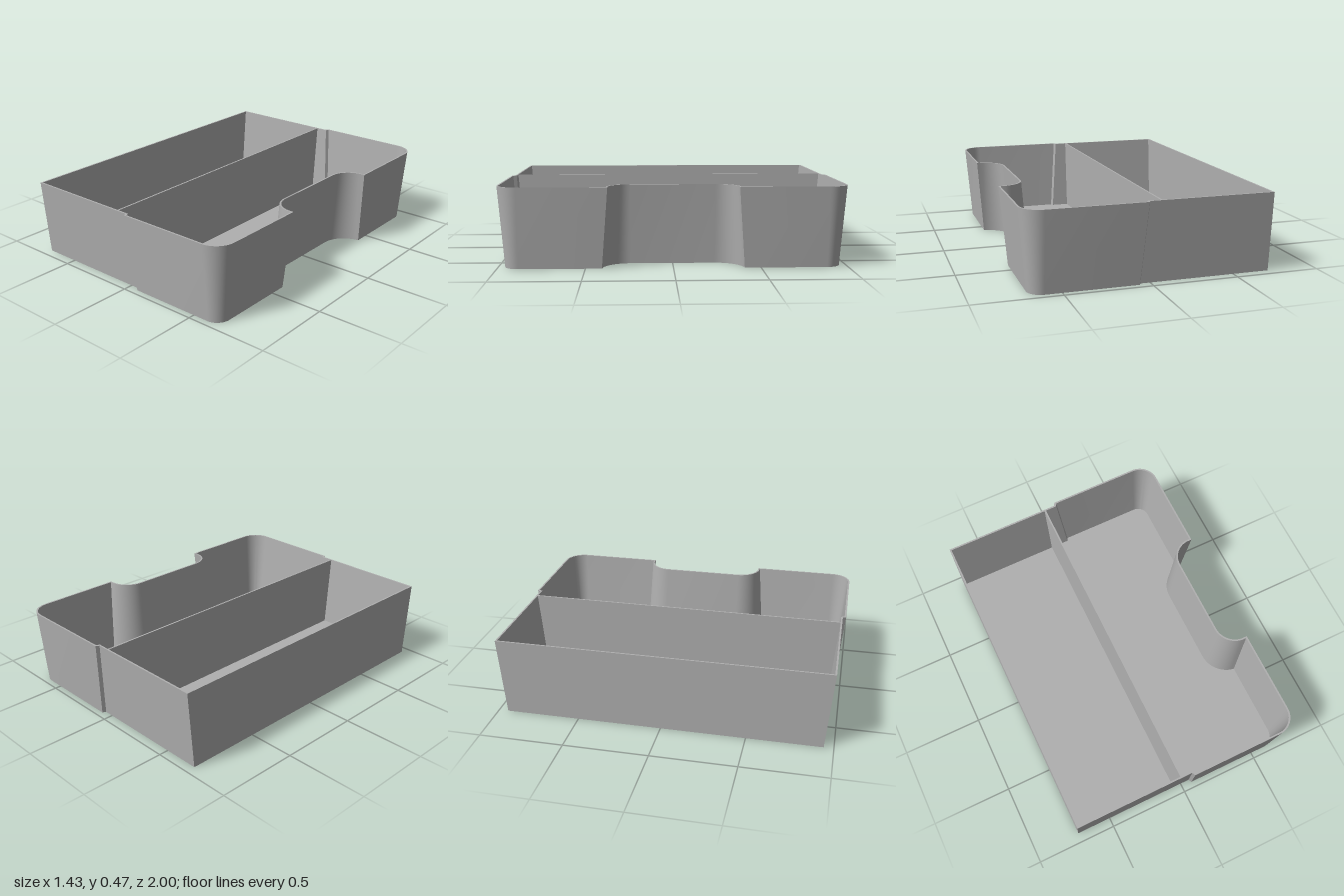
import * as THREE from 'three';
import { toCreasedNormals } from 'three/addons/utils/BufferGeometryUtils.js';

const HEIGHT = 0.467, DRAFT = 0.037, WALL = 0.01, FLOOR = 0.01;
const BACK = -0.717, FRONT = 0.717, STEPS = 12;

// Plan outline [x, z], inset by the draft and wall thickness; the back wall has no draft.
function outline(draft, wall) {
  const d = draft + wall;
  const half = [
    [BACK + wall, 0.98 - d],
    [0.02 + d, 0.98 - d],
    [0.03 + d, 1 - d],
  ];
  // rounded outer corner
  for (let i = 0; i <= STEPS; i++) {
    const a = (Math.PI / 2) * (1 - i / STEPS), r = 0.12 - d;
    half.push([FRONT - 0.12 + r * Math.cos(a), 0.88 + r * Math.sin(a)]);
  }
  // concave corner of the front notch, starting on the front face
  const cx = 0.695, cz = 0.245, r = 0.125 + d;
  const start = Math.acos(Math.min(0, (FRONT - d - cx) / r));
  for (let i = 0; i <= STEPS; i++) {
    const a = start + (Math.PI - start) * (i / STEPS);
    half.push([i ? cx + r * Math.cos(a) : FRONT - d, cz + r * Math.sin(a)]);
  }
  return [...half, ...half.map(([x, z]) => [x, -z]).reverse()];
}

// Skin joining closed outlines at successive heights
function loft(rings) {
  const n = rings[0].points.length, positions = [], index = [];
  for (const { points, y } of rings) for (const [x, z] of points) positions.push(x, y, z);
  for (let k = 0; k < rings.length - 1; k++) {
    for (let i = 0; i < n; i++) {
      const a = k * n + i, b = k * n + (i + 1) % n;
      index.push(a, b, b + n, a, b + n, a + n);
    }
  }
  const geometry = new THREE.BufferGeometry();
  geometry.setAttribute('position', new THREE.Float32BufferAttribute(positions, 3));
  geometry.setIndex(index);
  return toCreasedNormals(geometry, 0.5);
}

// Flat plate filling an outline, facing up (1) or down (-1)
function plate(points, y, facing) {
  const shape = new THREE.Shape(points.map(([x, z]) => new THREE.Vector2(x, -facing * z)));
  return new THREE.ShapeGeometry(shape).rotateX(-facing * Math.PI / 2).translate(0, y, 0);
}

export function createModel() {
  const group = new THREE.Group();
  group.name = 'tray';
  const grey = new THREE.MeshStandardMaterial({ color: 0xb0b0b0 });
  grey.name = 'grey';
  const add = (name, geometry) => {
    const mesh = new THREE.Mesh(geometry, grey);
    mesh.name = name;
    group.add(mesh);
  };

  // thin sloping walls with rim
  const outerBottom = outline(DRAFT, 0);
  const innerBottom = outline(DRAFT * (1 - FLOOR / HEIGHT), WALL);
  add('walls', loft([
    { points: outerBottom, y: 0 },
    { points: outline(0, 0), y: HEIGHT },
    { points: outline(0, WALL), y: HEIGHT },
    { points: innerBottom, y: FLOOR },
  ]));

  // floor, inside and underside
  add('floor', plate(innerBottom, FLOOR, 1));
  add('underside', plate(outerBottom, 0, -1));

  // upright divider following the slope of the side walls
  const top = 0.975, bottom = top - DRAFT;
  const profile = new THREE.Shape([
    new THREE.Vector2(-bottom, 0.005), new THREE.Vector2(bottom, 0.005),
    new THREE.Vector2(top, HEIGHT), new THREE.Vector2(-top, HEIGHT),
  ]);
  const divider = new THREE.ExtrudeGeometry(profile, { depth: WALL, bevelEnabled: false });
  add('divider', divider.rotateY(Math.PI / 2).translate(-0.053, 0, 0));

  return group;
}
